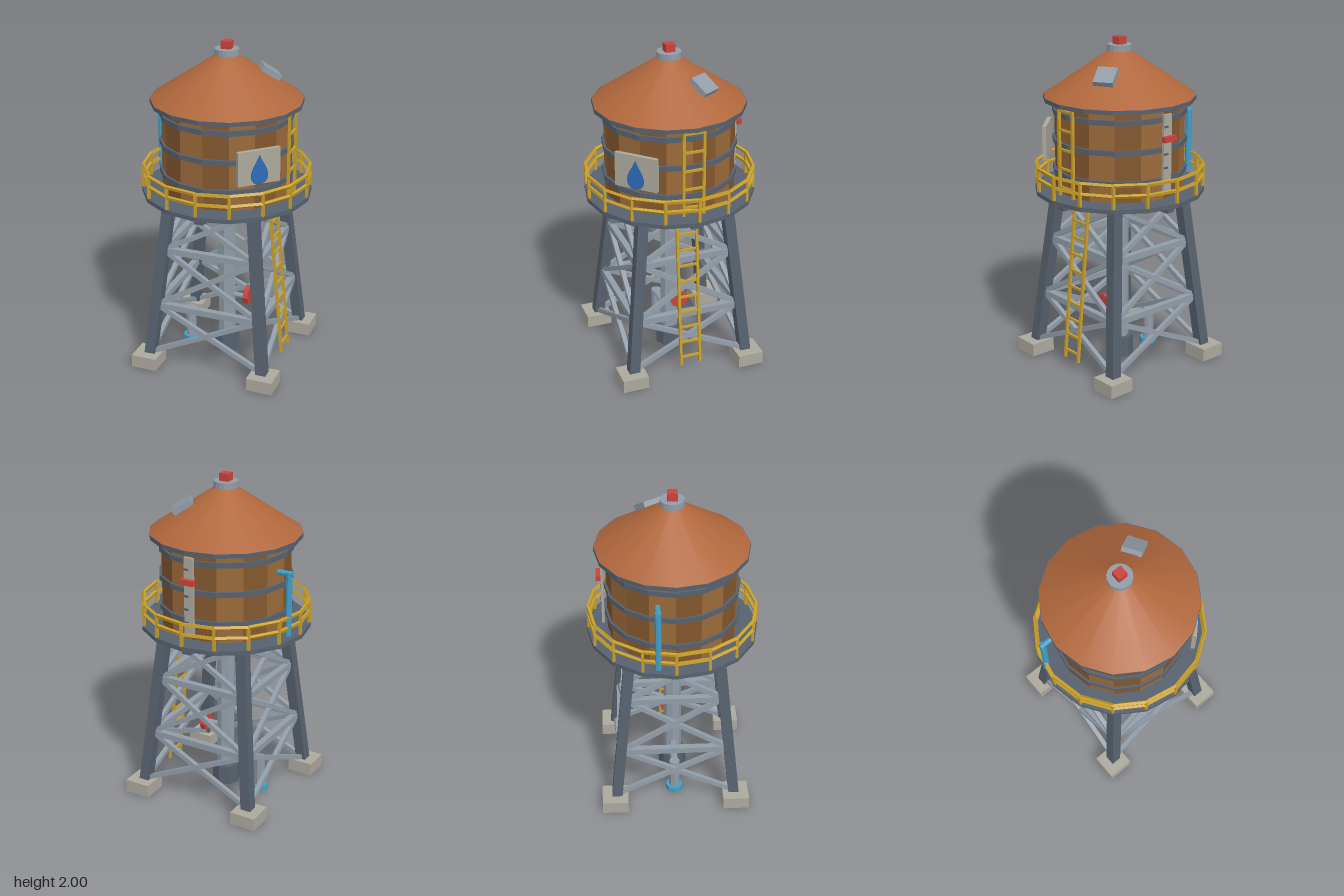
import * as THREE from 'three';

const mat = (name, color) => {
  const m = new THREE.MeshStandardMaterial({ color });
  m.name = name;
  return m;
};

export function createModel() {
  const model = new THREE.Group();
  model.name = 'waterTower';
  const slate = mat('slate steel', 0x56616e);
  const steel = mat('light steel', 0x929da8);
  const copper = mat('copper roof', 0xb0673c);
  const woodLight = mat('light wood', 0x9a6a3a);
  const woodDark = mat('dark wood', 0x83572e);
  const yellow = mat('safety yellow', 0xc9a02a);
  const red = mat('signal red', 0xcb423c);
  const pipeBlue = mat('pipe blue', 0x419fca);
  const dropBlue = mat('drop blue', 0x2f6bb8);
  const concrete = mat('concrete', 0xaca89d);

  const V = (x, y, z) => new THREE.Vector3(x, y, z);
  const UP = V(0, 1, 0);

  function add(name, geo, material, x = 0, y = 0, z = 0, parent = model) {
    const mesh = new THREE.Mesh(geo, material);
    mesh.name = name;
    mesh.position.set(x, y, z);
    parent.add(mesh);
    return mesh;
  }
  const box = (name, m, w, h, d, x, y, z, parent) =>
    add(name, new THREE.BoxGeometry(w, h, d), m, x, y, z, parent);
  // faceted cylinder from y0 to y1
  const drum = (name, m, r, y0, y1, sides, x = 0, z = 0) => {
    const g = new THREE.CylinderGeometry(r, r, y1 - y0, sides).toNonIndexed();
    g.computeVertexNormals();
    return add(name, g, m, x, (y0 + y1) / 2, z);
  };
  // square bar or faceted rod between two points
  function bar(name, m, a, b, t, sides = 0, parent = model) {
    const len = a.distanceTo(b);
    let g = new THREE.BoxGeometry(t, len, t);
    if (sides) {
      g = new THREE.CylinderGeometry(t / 2, t / 2, len, sides).toNonIndexed();
      g.computeVertexNormals();
    }
    const mesh = add(name, g, m, 0, 0, 0, parent);
    mesh.position.copy(a).add(b).multiplyScalar(0.5);
    mesh.quaternion.setFromUnitVectors(UP, b.clone().sub(a).normalize());
    return mesh;
  }

  // Legs and footings
  const legAt = (y) => 0.363 - (y - 0.08) * 0.102;
  const corners = [[1, 1], [1, -1], [-1, -1], [-1, 1]];
  const corner = (i, y) => V(corners[i % 4][0] * legAt(y), y, corners[i % 4][1] * legAt(y));
  corners.forEach(([sx, sz], i) => {
    box('footing', concrete, 0.16, 0.08, 0.16, sx * 0.375, 0.04, sz * 0.375);
    bar('leg', slate, corner(i, 0.06), corner(i, 1.09), 0.064);
  });

  // Cross bracing on all four sides
  const tiers = [0.08, 0.4, 0.76, 1.06];
  for (let i = 0; i < 4; i++) {
    for (let t = 0; t < 3; t++) {
      bar('brace', steel, corner(i, tiers[t]), corner(i + 1, tiers[t + 1]), 0.028);
      bar('brace', steel, corner(i + 1, tiers[t]), corner(i, tiers[t + 1]), 0.028);
      if (t) bar('strut', steel, corner(i, tiers[t]), corner(i + 1, tiers[t]), 0.038);
    }
  }

  // Platform and the crossed beams under it
  drum('platform', slate, 0.51, 1.08, 1.105, 16);
  box('floorBeam', slate, 0.9, 0.05, 0.055, 0, 1.06, 0);
  box('floorBeam', slate, 0.055, 0.05, 0.9, 0, 1.06, 0);

  // Railing
  const railing = new THREE.Group();
  railing.name = 'railing';
  model.add(railing);
  const railPoint = (i, y) => {
    const a = (i * Math.PI) / 8;
    return V(0.499 * Math.sin(a), y, 0.499 * Math.cos(a));
  };
  for (let i = 0; i < 16; i++) {
    bar('railPost', yellow, railPoint(i, 1.1), railPoint(i, 1.245), 0.016, 0, railing);
    for (const y of [1.18, 1.243]) {
      bar('rail', yellow, railPoint(i, y), railPoint(i + 1, y), 0.017, 0, railing);
    }
  }

  // Tank: sixteen staves in alternating wood, with hoops
  const tank = new THREE.Group();
  tank.name = 'tank';
  model.add(tank);
  for (let i = 0; i < 16; i++) {
    const g = new THREE.CylinderGeometry(0.386, 0.386, 0.54, 1, 1, true, (i * Math.PI) / 8, Math.PI / 8).toNonIndexed();
    g.computeVertexNormals();
    add('stave', g, i % 2 ? woodLight : woodDark, 0, 1.37, 0, tank);
  }
  for (const y of [1.22, 1.4, 1.575]) drum('hoop', slate, 0.4, y - 0.015, y + 0.015, 16);

  // Roof, vent cap and beacon
  drum('roofRim', slate, 0.452, 1.635, 1.66, 16);
  add('roof', new THREE.CylinderGeometry(0.06, 0.45, 0.262, 16, 1, true), copper, 0, 1.791, 0);
  drum('ventCap', steel, 0.072, 1.918, 1.955, 16);
  box('beacon', red, 0.058, 0.05, 0.058, 0, 1.975, 0);

  // Roof hatch, lying on the slope
  const hatchPivot = new THREE.Group();
  hatchPivot.name = 'hatch';
  hatchPivot.rotation.y = Math.atan2(0.13, 0.215);
  model.add(hatchPivot);
  box('hatchLid', steel, 0.125, 0.035, 0.118, 0.251, 1.808, 0, hatchPivot).rotation.z = -0.591;

  // Central riser pipe
  drum('riserPipe', steel, 0.056, 0.1, 1.08, 8);
  drum('riserBase', slate, 0.086, 0, 0.125, 8);

  // Outlet pipe with flange
  bar('outletArm', steel, V(-0.27, 0.208, 0), V(0, 0.208, 0), 0.046, 8);
  bar('outletDrop', steel, V(-0.245, 0.03, 0), V(-0.245, 0.228, 0), 0.066, 8);
  drum('outletFlange', pipeBlue, 0.053, 0, 0.035, 8, -0.243, 0);

  // Valve
  bar('valveStem', steel, V(0.04, 0.375, 0), V(0.13, 0.375, 0), 0.034, 8);
  bar('valveWheel', red, V(0.118, 0.38, -0.015), V(0.15, 0.38, -0.015), 0.114, 8);

  // Overflow pipe beside the tank
  bar('overflowPipe', pipeBlue, V(-0.473, 1.13, -0.103), V(-0.473, 1.515, -0.103), 0.038, 8);
  bar('overflowArm', pipeBlue, V(-0.492, 1.505, -0.103), V(-0.4, 1.505, -0.103), 0.032, 8);

  // Ladder: a leaning lower run and an upright upper run
  function ladder(name, bottom, top, rungs) {
    const group = new THREE.Group();
    group.name = name;
    model.add(group);
    const off = V(0, 0, 0.061);
    for (const s of [-1, 1]) {
      const d = off.clone().multiplyScalar(s);
      bar('ladderRail', yellow, bottom.clone().add(d), top.clone().add(d), 0.016, 0, group);
    }
    for (let i = 0; i < rungs; i++) {
      const p = bottom.clone().lerp(top, (i + 0.5) / rungs);
      bar('rung', yellow, p.clone().sub(off), p.clone().add(off), 0.013, 0, group);
    }
  }
  ladder('lowerLadder', V(0.385, 0.065, 0), V(0.29, 1.08, 0), 10);
  ladder('upperLadder', V(0.405, 1.1, 0), V(0.405, 1.67, 0), 5);

  // Sign with a water drop, facing the front corner
  const sign = new THREE.Group();
  sign.name = 'sign';
  sign.rotation.y = Math.PI / 4;
  model.add(sign);
  box('signBoard', concrete, 0.262, 0.204, 0.025, 0, 1.383, 0.432, sign);
  const drop = new THREE.Shape();
  drop.moveTo(0, 0.09);
  drop.bezierCurveTo(0.015, 0.045, 0.052, 0.01, 0.052, -0.036);
  drop.bezierCurveTo(0.052, -0.104, -0.052, -0.104, -0.052, -0.036);
  drop.bezierCurveTo(-0.052, 0.01, -0.015, 0.045, 0, 0.09);
  add('waterDrop', new THREE.ExtrudeGeometry(drop, { depth: 0.008, bevelEnabled: false, curveSegments: 8 }),
    dropBlue, 0, 1.368, 0.444, sign);

  // Level gauge on the back
  box('gaugeBoard', concrete, 0.06, 0.46, 0.016, 0, 1.38, -0.41);
  for (let i = 0; i < 5; i++) {
    box('gaugeTick', slate, 0.028, 0.012, 0.006, 0.014, 1.22 + i * 0.08, -0.42);
  }
  box('gaugePointer', red, 0.09, 0.032, 0.028, 0, 1.47, -0.431);

  return model;
}
